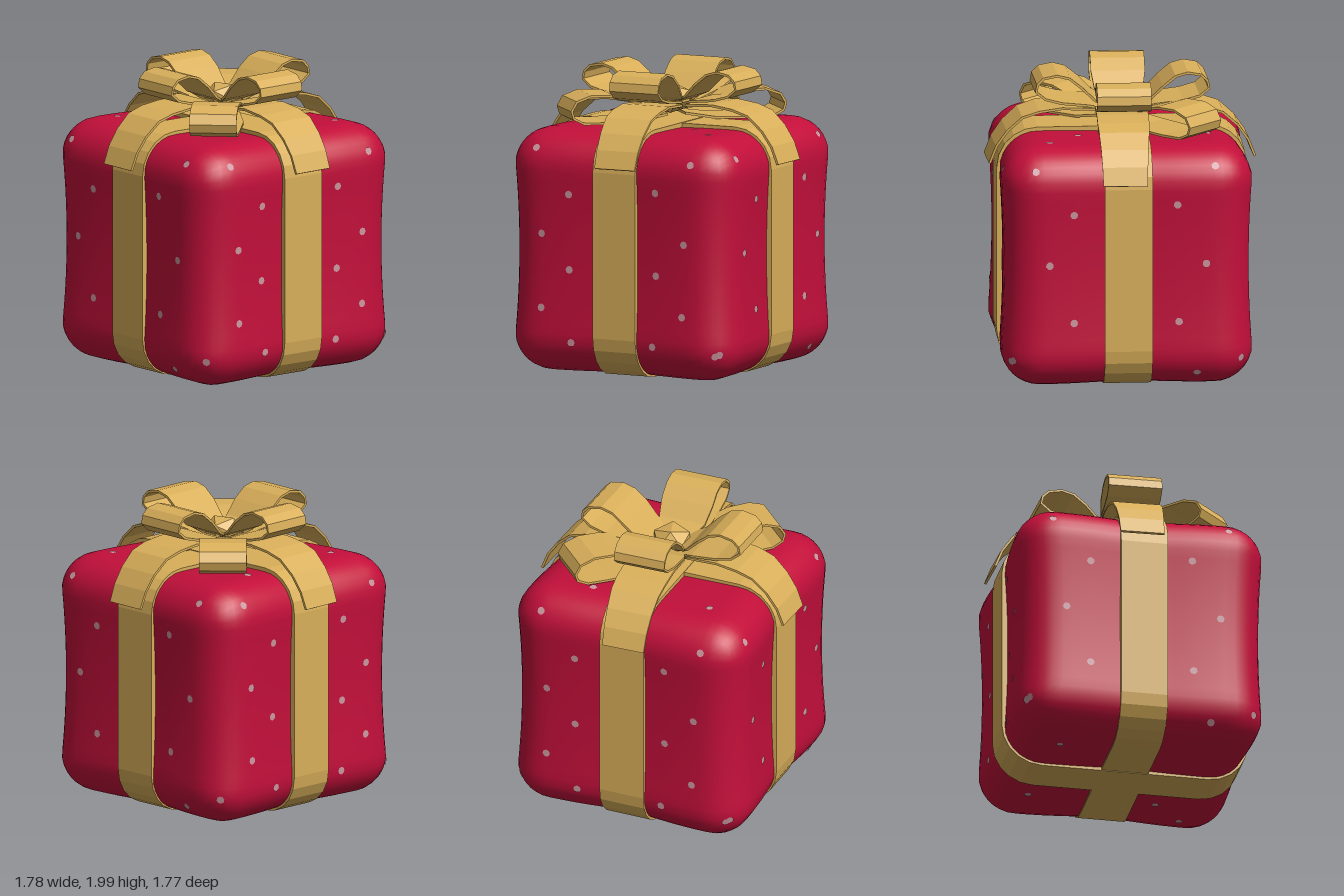
import * as THREE from 'three';
import { mergeVertices } from 'three/addons/utils/BufferGeometryUtils.js';

const HALF = [0.83, 0.805, 0.83], MID_Y = 0.815, EDGE = 0.26;

// Soft box: rounded edges, pinched in where the ribbons pull tight
function boxGeometry() {
  let geo = new THREE.BoxGeometry(1.66, 1.61, 1.66, 24, 24, 24);
  geo.deleteAttribute('normal');
  geo.deleteAttribute('uv');
  geo = mergeVertices(geo);
  const pos = geo.attributes.position;
  const p = new THREE.Vector3(), core = new THREE.Vector3();
  const inner = new THREE.Vector3(...HALF).subScalar(EDGE);
  const dip = (u) => Math.exp(-((u / 0.3) ** 2));
  for (let i = 0; i < pos.count; i++) {
    p.fromBufferAttribute(pos, i);
    core.copy(p).clamp(inner.clone().negate(), inner);
    p.sub(core).setLength(EDGE).add(core);
    const { x, y, z } = p;
    const waist = 0.028 * Math.max(0, 1 - (y / 0.6) ** 2);
    pos.setXYZ(i,
      x * (1 - 0.04 * dip(z) - waist),
      y * (1 - 0.012 * (dip(x) + dip(z))) + MID_Y,
      z * (1 - 0.04 * dip(x) - waist));
  }
  geo.computeVertexNormals();
  return geo;
}

// Flat ribbon of thickness 2t that follows [x, y] points; halfWidth(x) gives its width
function ribbonGeometry(pts, halfWidth, t, closed = false) {
  const n = pts.length;
  const rings = pts.map(([x, y], i) => {
    const a = pts[closed ? (i + n - 1) % n : Math.max(i - 1, 0)];
    const b = pts[closed ? (i + 1) % n : Math.min(i + 1, n - 1)];
    const len = Math.hypot(b[0] - a[0], b[1] - a[1]);
    const nx = -(b[1] - a[1]) / len * t, ny = (b[0] - a[0]) / len * t;
    const w = halfWidth(x);
    return [[x + nx, y + ny, -w], [x + nx, y + ny, w], [x - nx, y - ny, w], [x - nx, y - ny, -w]];
  });
  const out = [];
  const quad = (a, b, c, d) => out.push(...a, ...b, ...c, ...a, ...c, ...d);
  for (let i = 0; i < (closed ? n : n - 1); i++) {
    const r = rings[i], s = rings[(i + 1) % n];
    for (let j = 0; j < 4; j++) quad(r[j], r[(j + 1) % 4], s[(j + 1) % 4], s[j]);
  }
  if (!closed) {
    quad(rings[0][0], rings[0][3], rings[0][2], rings[0][1]);
    quad(...rings[n - 1]);
  }
  const geo = new THREE.BufferGeometry();
  geo.setAttribute('position', new THREE.Float32BufferAttribute(out, 3));
  geo.computeVertexNormals();
  return geo;
}

// Rounded rectangle path around the box
function wrapPath(h, low, high, r) {
  const pts = [];
  const corners = [[h - r, high - r], [r - h, high - r], [r - h, low + r], [h - r, low + r]];
  corners.forEach(([cx, cy], k) => {
    for (let i = 0; i <= 5; i++) {
      const a = (k + i / 5) * Math.PI / 2;
      pts.push([cx + r * Math.cos(a), cy + r * Math.sin(a)]);
    }
  });
  return pts;
}

export function createModel() {
  const model = new THREE.Group();
  model.name = 'giftBox';
  const red = new THREE.MeshStandardMaterial({ color: 0xc30f3a });
  red.name = 'red paper';
  const gold = new THREE.MeshStandardMaterial({ color: 0xd9af5a });
  gold.name = 'gold ribbon';
  const pale = new THREE.MeshStandardMaterial({ color: 0xcb979f });
  pale.name = 'pale dots';

  const add = (name, geo, mat, turn = 0) => {
    const mesh = new THREE.Mesh(geo, mat);
    mesh.name = name;
    mesh.rotation.y = turn;
    model.add(mesh);
    return mesh;
  };

  const body = add('box', boxGeometry(), red);

  // Two bands around the box, crossing above and below
  [0, 1].forEach((k) => {
    const e = k * 0.004;
    const path = wrapPath(0.804 - e, 0.02 + e, 1.62 - e, 0.25);
    add('ribbonBand', ribbonGeometry(path, () => 0.157, 0.018, true), gold, k * Math.PI / 2);
  });

  // Bow: four drooping tails, four upright loops, two low diagonal loops
  const tail = [[0.05, 1.72], [0.2, 1.755], [0.4, 1.765], [0.55, 1.745], [0.66, 1.71],
    [0.76, 1.62], [0.83, 1.52], [0.875, 1.405]];
  const loop = [[0.06, 1.73], [0.22, 1.78], [0.4, 1.8], [0.51, 1.83], [0.57, 1.88], [0.56, 1.93],
    [0.52, 1.97], [0.43, 1.987], [0.35, 1.965], [0.27, 1.9], [0.18, 1.81], [0.07, 1.76]];
  const lowLoop = [[0.06, 1.68], [0.25, 1.65], [0.5, 1.64], [0.65, 1.645], [0.72, 1.68], [0.735, 1.73],
    [0.7, 1.79], [0.6, 1.825], [0.45, 1.82], [0.25, 1.76], [0.07, 1.72]];
  const flare = (max) => (x) => Math.min(max, 0.08 + x * 0.45);
  const tailWidth = (x) => Math.min(0.17, 0.08 + x * 0.45) - Math.max(0, x - 0.6) * 0.09;
  for (let k = 0; k < 4; k++) {
    const turn = k * Math.PI / 2;
    add('bowTail', ribbonGeometry(tail, tailWidth, 0.008), gold, turn + (k % 2 ? -0.03 : 0.04));
    add('bowLoop', ribbonGeometry(loop, flare(0.178), 0.008), gold, turn + (k % 2 ? -0.02 : 0.03));
  }
  for (const turn of [-Math.PI / 4, Math.PI * 3 / 4]) {
    add('lowBowLoop', ribbonGeometry(lowLoop, flare(0.155), 0.008), gold, turn);
  }

  // Faceted knot
  const knotGeo = new THREE.IcosahedronGeometry(0.14, 0);
  knotGeo.scale(1, 0.75, 1);
  add('knot', knotGeo, gold, 0.3).position.y = 1.77;

  // Dots: [across, height] on the walls, [x, z] on the lid
  const wallA = [[-0.61, 1.49], [-0.36, 1.2], [-0.52, 0.86], [-0.36, 0.47], [-0.75, 0.21],
    [0.57, 1.51], [0.32, 1.26], [0.51, 0.86], [0.33, 0.47], [0.45, 0.12], [0.74, 0.21]];
  const wallB = [[-0.59, 1.5], [-0.34, 1.21], [-0.54, 0.94], [-0.34, 0.71], [-0.54, 0.45], [-0.32, 0.23],
    [0.3, 1.26], [0.56, 1.46], [0.51, 0.93], [0.3, 0.71], [0.5, 0.45], [0.28, 0.24], [0.72, 0.2]];
  const lid = [[-0.5, 0.49], [0.5, -0.53], [0.3, -0.32], [-0.55, -0.32]];
  const ray = new THREE.Raycaster();
  const dotGeo = new THREE.CircleGeometry(0.026, 8);
  const addDot = (from, dir) => {
    ray.set(from, dir);
    const hit = ray.intersectObject(body)[0];
    if (!hit) return;
    const dot = add('dot', dotGeo, pale);
    dot.position.copy(hit.point).addScaledVector(hit.face.normal, 0.005);
    dot.quaternion.setFromUnitVectors(new THREE.Vector3(0, 0, 1), hit.face.normal);
  };
  const up = new THREE.Vector3(0, 1, 0);
  [wallA, wallB, wallA, wallB].forEach((dots, k) => {
    const turn = k * Math.PI / 2;
    const dir = new THREE.Vector3(0, 0, -1).applyAxisAngle(up, turn);
    for (const [u, y] of dots) addDot(new THREE.Vector3(u, y, 2).applyAxisAngle(up, turn), dir);
  });
  for (const [x, z] of lid) {
    addDot(new THREE.Vector3(x, 3, z), new THREE.Vector3(0, -1, 0));
    addDot(new THREE.Vector3(x, -1, z), up);
  }
  return model;
}
